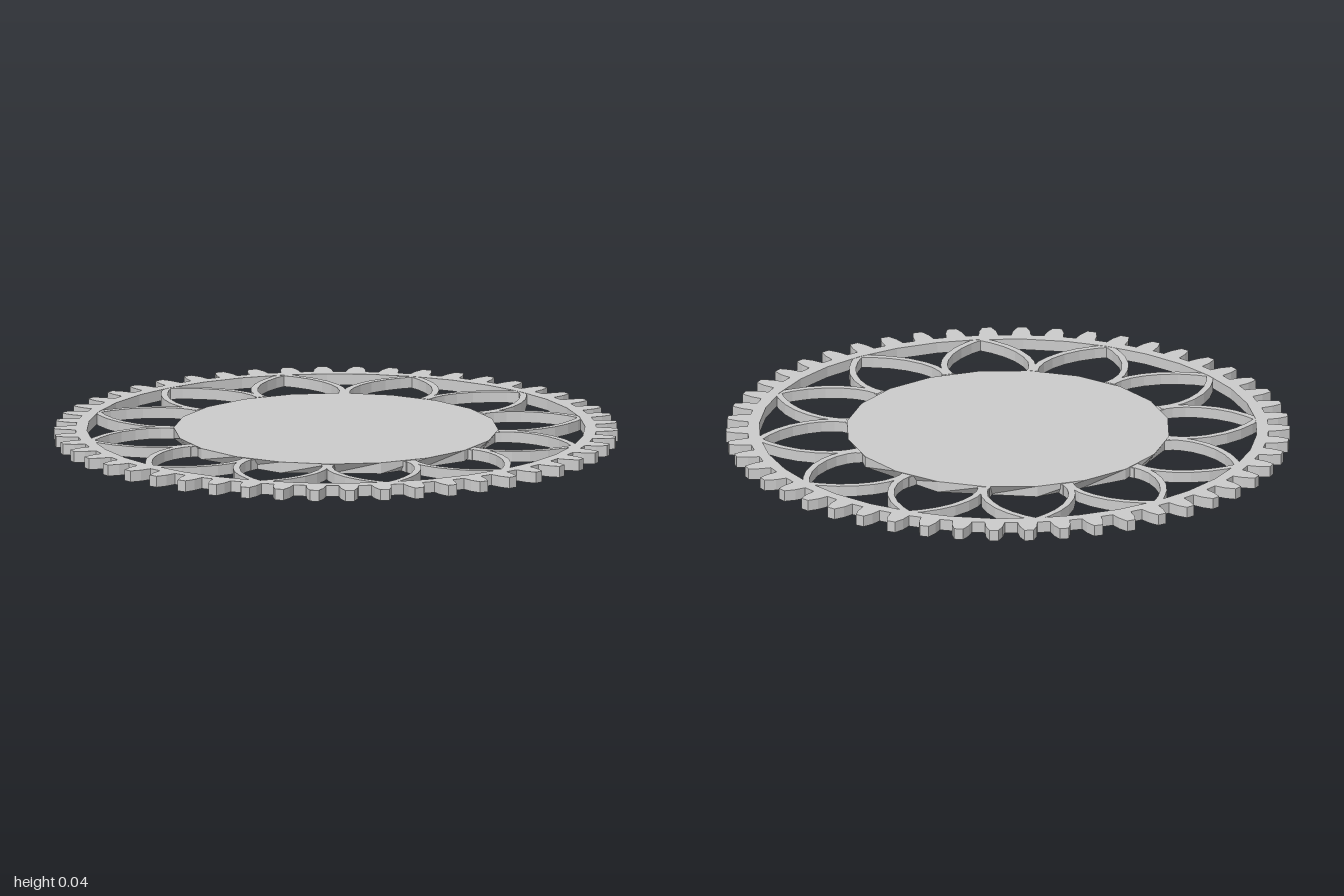
import * as THREE from 'three';

const H = 0.04;
const TEETH = 50;
const PETALS = 12;
const rad = THREE.MathUtils.degToRad;

// point at a clockwise angle from the back (-z) of the wheel
const polar = (r, a) => new THREE.Vector2(r * Math.sin(a), r * Math.cos(a));

export function createModel() {
  const group = new THREE.Group();
  const material = new THREE.MeshStandardMaterial({
    color: 0xcccccc, flatShading: true, side: THREE.DoubleSide,
  });

  // extrude a flat outline upwards from the ground
  const plate = (shape, name, height = H) => {
    const geometry = new THREE.ExtrudeGeometry(shape, { depth: height, bevelEnabled: false });
    geometry.rotateX(-Math.PI / 2);
    const mesh = new THREE.Mesh(geometry, material);
    mesh.name = name;
    return mesh;
  };

  // toothed rim: each tooth is [radius, half width], mirrored about its axis
  const flank = [[0.922, 0.035], [0.962, 0.03], [0.999, 0.016]];
  const tooth = [
    ...flank.map(([r, w]) => [r, -w]),
    ...flank.slice().reverse(),
  ];
  const outline = [];
  for (let i = 0; i < TEETH; i++) {
    const a = rad(2.1) + (i * 2 * Math.PI) / TEETH;
    for (const [r, w] of tooth) outline.push(polar(r, a + w / r));
  }
  // the bore runs against the outline so that its wall faces inwards
  const bore = [];
  for (let i = 0; i < 36; i++) bore.push(polar(0.882, (-i * Math.PI) / 18));
  const rim = new THREE.Shape(outline);
  rim.holes.push(new THREE.Path(bore));
  group.add(plate(rim, 'toothedRim'));

  // solid faceted hub: twenty sides on top, ten underneath
  const step = rad(18), start = rad(184);
  const hubGeometry = new THREE.CylinderGeometry(0.575, 0.575, H, 20, 1, false, start);
  const pos = hubGeometry.attributes.position;
  for (let i = 0; i < pos.count; i++) {
    const x = pos.getX(i), z = pos.getZ(i);
    const corner = Math.round((Math.atan2(x, z) - start) / step);
    if (pos.getY(i) < 0 && corner % 2 !== 0) {
      pos.setXYZ(i, x * Math.cos(step), pos.getY(i), z * Math.cos(step));
    }
  }
  hubGeometry.translate(0, H / 2, 0);
  const hub = new THREE.Mesh(hubGeometry, material);
  hub.name = 'hub';
  group.add(hub);

  // one curved band forms half a petal
  const curve = new THREE.SplineCurve(
    [[0, 0.888], [0.06, 0.84], [0.115, 0.77], [0.148, 0.69], [0.156, 0.62], [0.143, 0.56]]
      .map(([x, y]) => new THREE.Vector2(x, y)));
  const bandShape = (side) => {
    const left = [], right = [];
    for (let i = 0; i <= 7; i++) {
      const p = curve.getPoint(i / 7);
      const t = curve.getTangent(i / 7);
      const n = new THREE.Vector2(-t.y, t.x).multiplyScalar(0.012);
      left.push(p.clone().add(n));
      right.push(p.clone().sub(n));
    }
    return new THREE.Shape([...left, ...right.reverse()]
      .map((p) => new THREE.Vector2(p.x * side, p.y)));
  };

  // ring of petals, with a short foot where neighbours meet at the hub
  const foot = new THREE.Shape([[-0.026, 0.54], [0.026, 0.54], [0.022, 0.588], [-0.022, 0.588]]
    .map(([x, y]) => new THREE.Vector2(x, y)));
  for (let i = 0; i < PETALS; i++) {
    const petal = new THREE.Group();
    petal.name = 'petalSpoke';
    const joint = plate(foot, 'petalFoot', H - 0.002);
    joint.rotation.y = Math.PI / PETALS;
    petal.add(
      plate(bandShape(1), 'petalBandRight', H - 0.001),
      plate(bandShape(-1), 'petalBandLeft', H - 0.001),
      joint);
    petal.rotation.y = (i * 2 * Math.PI) / PETALS;
    group.add(petal);
  }
  return group;
}
